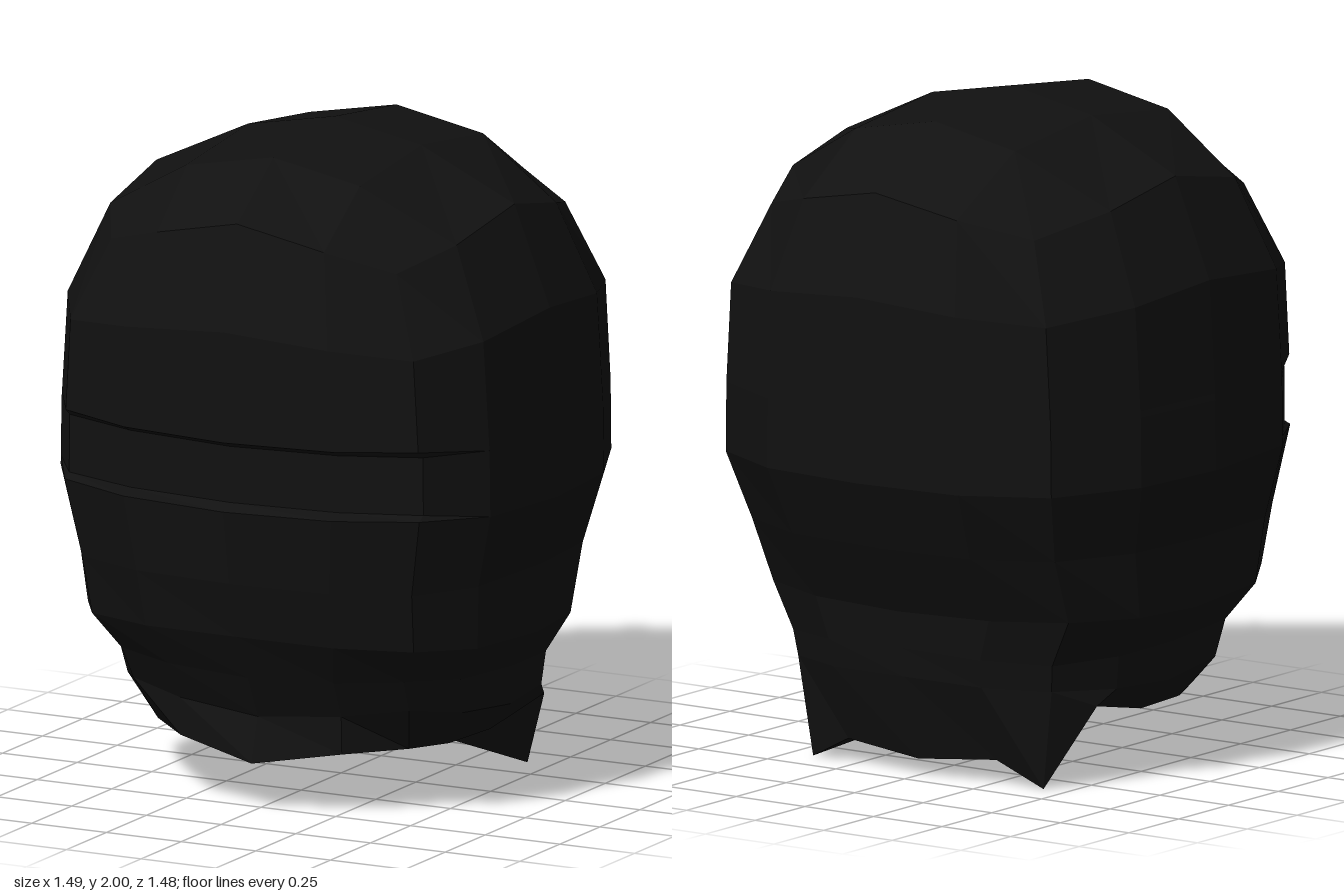
import * as THREE from 'three';

const material = new THREE.MeshStandardMaterial({ color: 0x111111, flatShading: true });

// Half of the plan outline, from front centre round the left side to back centre: [x, z]
const PLAN = [[0, 0.74], [0.345, 0.715], [0.59, 0.62], [0.715, 0.41], [0.74, 0.04],
  [0.715, -0.3], [0.59, -0.58], [0.345, -0.71], [0, -0.74]];
const COLS = 16;

// Complete a half outline of nine points by mirroring it across x = 0
function mirrorRing(half) {
  const ring = half.slice();
  for (let k = 7; k > 0; k--) ring.push([-half[k][0], half[k][1], half[k][2]]);
  return ring;
}

// Scaled plan ring; heights are front, front corner, side, back corner, back
function makeRing(sx, zFront, zBack, heights, recess = 0) {
  return mirrorRing(PLAN.map(([x, z], k) => {
    const a = heights[Math.floor(k / 2)], b = heights[Math.ceil(k / 2)];
    const inset = k < 2 ? recess : k === 2 ? recess * 0.6 : 0;
    return [x * sx, (a + b) / 2, z * (z > 0 ? zFront : zBack) - inset];
  }));
}

// Two triangles per quad, corners anticlockwise seen from outside
function addQuad(out, a, b, c, d) {
  out.push(...a, ...b, ...c, ...a, ...c, ...d);
}

function addBand(out, upper, lower, keep = () => true) {
  for (let k = 0; k < COLS; k++) {
    const n = (k + 1) % COLS;
    if (keep(k)) addQuad(out, upper[k], lower[k], lower[n], upper[n]);
  }
}

function makeMesh(name, coords) {
  const geometry = new THREE.BufferGeometry();
  geometry.setAttribute('position', new THREE.Float32BufferAttribute(coords, 3));
  geometry.computeVertexNormals();
  const mesh = new THREE.Mesh(geometry, material);
  mesh.name = name;
  return mesh;
}

export function createModel() {
  const group = new THREE.Group();
  group.name = 'helmet';

  const crownEdge = makeRing(0.81, 0.88, 0.875, [1.8, 1.68, 1.8, 1.68, 1.79]);
  const brow = makeRing(0.973, 1, 1, [1.49, 1.44, 1.5, 1.44, 1.49]);
  const slotTop = makeRing(1, 1, 1, [1.155, 1.165, 1.16, 1.16, 1.16]);
  const visorTop = makeRing(1.002, 1, 1, [1.135, 1.145, 1.14, 1.14, 1.14], 0.045);
  const visorBottom = makeRing(1.005, 1, 1, [0.965, 0.97, 0.97, 0.97, 0.97], 0.045);
  const slotBottom = makeRing(1.006, 1, 1, [0.945, 0.955, 0.93, 0.93, 0.93]);
  const cheek = makeRing(0.935, 0.95, 0.87, [0.72, 0.72, 0.72, 0.72, 0.72]);
  const jaw = makeRing(0.912, 0.89, 0.72, [0.55, 0.54, 0.51, 0.52, 0.51]);
  const neckTop = makeRing(0.8, 0.79, 0.705, [0.41, 0.43, 0.4, 0.38, 0.4]);
  const neckBottom = makeRing(0.783, 0.705, 0.685, [0.28, 0.33, 0.28, 0.3, 0.31]);
  // Flared chin, drawn-in sides and pointed nape corners
  const rim = mirrorRing([[0, 0.145, 0.56], [0.27, 0.19, 0.5], [0.42, 0.195, 0.36],
    [0.48, 0.19, 0.22], [0.5, 0.19, 0], [0.535, 0.245, -0.27], [0.42, 0, -0.38],
    [0.27, 0.075, -0.41], [0, 0.05, -0.43]]);

  // Crown: a 5 x 5 grid whose border is the crown edge ring
  const grid = [];
  for (let i = 0; i < 5; i++) {
    grid.push([]);
    for (let j = 0; j < 5; j++) {
      const u = i - 2, v = j - 2;
      grid[i].push([u * 0.29, 2 - 0.055 * u * u - 0.045 * v * v, 0.04 + v * 0.385]);
    }
  }
  let i = 2, j = 4;
  for (let k = 0; k < COLS; k++) {
    grid[i][j] = crownEdge[k];
    if (j === 4 && i < 4) i++;
    else if (i === 4 && j > 0) j--;
    else if (j === 0 && i > 0) i--;
    else j++;
  }
  const crown = [];
  for (let a = 0; a < 4; a++) {
    for (let b = 0; b < 4; b++) {
      addQuad(crown, grid[a][b], grid[a][b + 1], grid[a + 1][b + 1], grid[a + 1][b]);
    }
  }
  group.add(makeMesh('crown', crown));

  // Shell walls, leaving the four front panels of the slot to the visor
  const isVisor = (k) => k < 2 || k > 13;
  const walls = [crownEdge, brow, slotTop, visorTop, visorBottom, slotBottom, cheek, jaw];
  const shell = [];
  for (let r = 0; r + 1 < walls.length; r++) {
    addBand(shell, walls[r], walls[r + 1], (k) => walls[r] !== visorTop || !isVisor(k));
  }
  group.add(makeMesh('shell', shell));

  const visor = [];
  addBand(visor, visorTop, visorBottom, isVisor);
  group.add(makeMesh('visor', visor));

  // Neck guard below the jaw
  const neck = [];
  addBand(neck, jaw, neckTop);
  addBand(neck, neckTop, neckBottom);
  addBand(neck, neckBottom, rim);
  group.add(makeMesh('neckGuard', neck));

  // Underside closing the neck
  const underside = [];
  for (let k = 0; k < COLS; k++) {
    underside.push(0, 0.2, 0, ...rim[(k + 1) % COLS], ...rim[k]);
  }
  group.add(makeMesh('underside', underside));

  return group;
}
